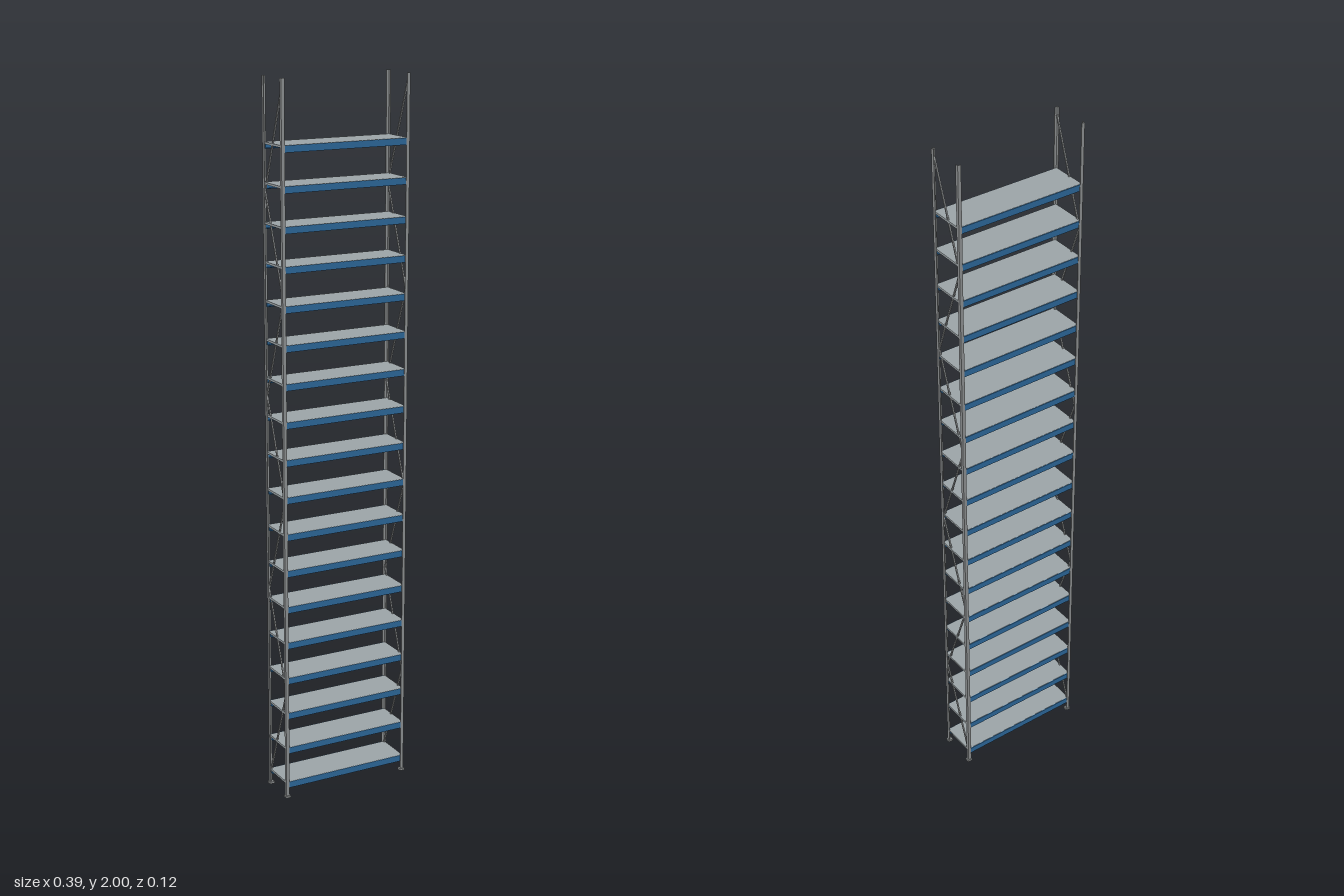
import * as THREE from 'three';

export function createModel() {
  const model = new THREE.Group();
  model.name = 'shelvingRack';

  const material = (name, color) => {
    const m = new THREE.MeshStandardMaterial({ color });
    m.name = name;
    return m;
  };
  const steel = material('postGrey', 0x8a8d8e);
  const panel = material('shelfGrey', 0x9ba3a6);
  const blue = material('beamBlue', 0x2b6596);

  const add = (parent, name, geometry, mat, x = 0, y = 0, z = 0) => {
    const mesh = new THREE.Mesh(geometry, mat);
    mesh.name = name;
    mesh.position.set(x, y, z);
    parent.add(mesh);
    return mesh;
  };

  // Angle-section posts on square foot plates, corner facing outward
  const footHeight = 0.006, leg = 0.0095, wall = 0.002;
  const footGeo = new THREE.BoxGeometry(0.015, footHeight, 0.014);
  const postHeight = 2 - footHeight;
  for (const sx of [-1, 1]) {
    for (const sz of [-1, 1]) {
      const post = new THREE.Group();
      post.name = (sz > 0 ? 'front' : 'back') + (sx > 0 ? 'Left' : 'Right') + 'Post';
      const y = footHeight + postHeight / 2;
      add(post, 'sideFlange', new THREE.BoxGeometry(wall, postHeight, leg), steel,
        sx * (0.19 - wall / 2), y, sz * (0.0555 - leg / 2));
      add(post, 'faceFlange', new THREE.BoxGeometry(leg - wall, postHeight, wall), steel,
        sx * (0.19 - wall - (leg - wall) / 2), y, sz * (0.0555 - wall / 2));
      add(post, 'foot', footGeo, steel, sx * 0.1855, footHeight / 2, sz * 0.051);
      model.add(post);
    }
  }

  // Shelves: a thin panel resting on two blue lipped beams
  const panelGeo = new THREE.BoxGeometry(0.377, 0.006, 0.104);
  const webGeo = new THREE.BoxGeometry(0.366, 0.018, 0.002);
  const lipGeo = new THREE.BoxGeometry(0.366, 0.002, 0.006);
  for (let i = 0; i < 18; i++) {
    const shelf = new THREE.Group();
    shelf.name = 'shelf' + (i + 1);
    shelf.position.y = 0.047 + i * 0.1049; // top of the shelf
    add(shelf, 'panel', panelGeo, panel, 0, -0.003, 0.0005);
    for (const s of [-1, 1]) {
      const side = s > 0 ? 'front' : 'back';
      add(shelf, side + 'Beam', webGeo, blue, 0, -0.0095, s * 0.0527);
      add(shelf, side + 'BeamLip', lipGeo, blue, 0, -0.0175, s * 0.0487);
    }
    model.add(shelf);
  }

  // Zigzag end braces
  const levels = 8, bottom = 0.04, step = 0.277, reach = 0.05;
  const length = Math.hypot(step, reach * 2);
  const braceGeo = new THREE.BoxGeometry(0.004, length, 0.004);
  for (const sx of [-1, 1]) {
    const braces = new THREE.Group();
    braces.name = sx > 0 ? 'leftBraces' : 'rightBraces';
    for (let i = 0; i < levels - 1; i++) {
      const lean = i % 2 === 0 ? 1 : -1;
      const brace = add(braces, 'brace', braceGeo, steel, sx * 0.1855, bottom + (i + 0.5) * step, 0);
      brace.rotation.x = lean * Math.atan2(reach * 2, step);
    }
    model.add(braces);
  }

  return model;
}
